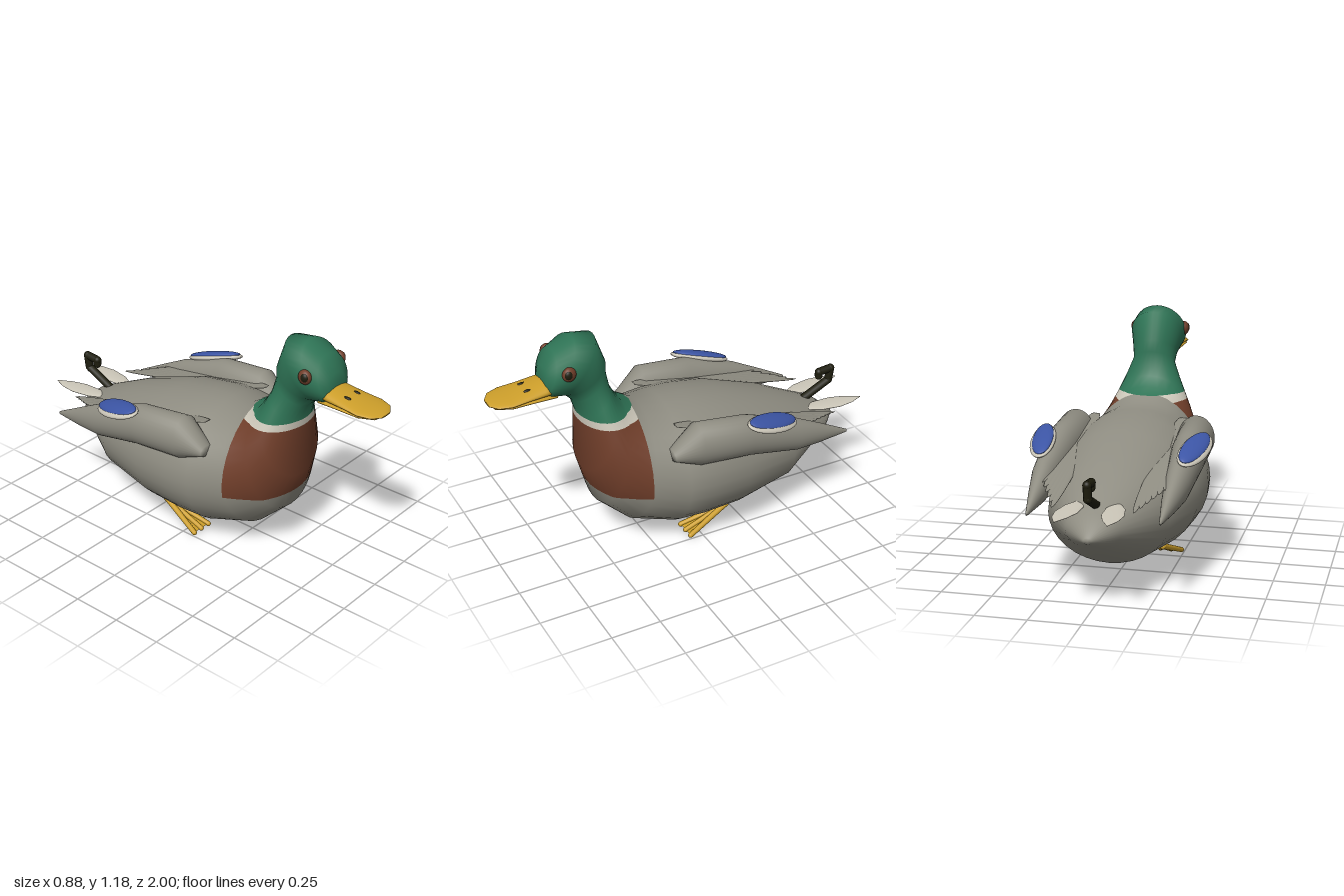
import * as THREE from 'three';

const mat = (name, color, side = THREE.FrontSide) => {
  const m = new THREE.MeshStandardMaterial({ color, side });
  m.name = name;
  return m;
};

// Loft of elliptical rings, tail to head: [topZ, topY, bottomZ, bottomY, halfWidth, centreX]
function loft(rings, n = 32) {
  const pos = [], idx = [];
  for (const [tz, ty, bz, by, w, cx = 0] of rings) {
    for (let i = 0; i < n; i++) {
      const a = (i / n) * Math.PI * 2, c = Math.cos(a) / 2;
      pos.push(cx + w * Math.sin(a), (ty + by) / 2 + (ty - by) * c, (tz + bz) / 2 + (tz - bz) * c);
    }
  }
  const last = rings.length - 1, caps = rings.length * n;
  for (const [tz, ty, bz, by, , cx = 0] of [rings[0], rings[last]]) pos.push(cx, (ty + by) / 2, (tz + bz) / 2);
  for (let i = 0; i < n; i++) {
    const k = (i + 1) % n;
    for (let j = 0; j < last; j++) {
      const a = j * n + i, b = j * n + k;
      idx.push(a, a + n, b, b, a + n, b + n);
    }
    idx.push(caps, i, k, caps + 1, last * n + k, last * n + i);
  }
  const g = new THREE.BufferGeometry();
  g.setAttribute('position', new THREE.Float32BufferAttribute(pos, 3));
  g.setIndex(idx);
  g.computeVertexNormals();
  return g;
}

// Rings that stand upright: [z, topY, bottomY, halfWidth, centreX]
const upright = (rings, s = 1) => loft(rings.map(([z, t, b, w, x = 0]) => [z, t, z, b, w, x * s]));

// Polygons are lists of [x, y, z, nx, ny, nz]; keep one side of a plane on the given axis
function clip(polys, axis, limit, sign) {
  const out = [];
  for (const poly of polys) {
    const kept = [];
    poly.forEach((a, i) => {
      const b = poly[(i + 1) % poly.length];
      const da = (a[axis] - limit) * sign, db = (b[axis] - limit) * sign;
      if (da >= 0) kept.push(a);
      if (da * db < 0) kept.push(a.map((v, k) => v + (b[k] - v) * da / (da - db)));
    });
    if (kept.length > 2) out.push(kept);
  }
  return out;
}

function toPolys(g) {
  const f = g.toNonIndexed(), p = f.attributes.position.array, n = f.attributes.normal.array, out = [];
  for (let t = 0; t < p.length; t += 9)
    out.push([0, 3, 6].map(k => [...p.slice(t + k, t + k + 3), ...n.slice(t + k, t + k + 3)]));
  return out;
}

function fromPolys(polys) {
  const pos = [], nor = [];
  for (const q of polys)
    for (let i = 1; i < q.length - 1; i++)
      for (const v of [q[0], q[i], q[i + 1]]) { pos.push(...v.slice(0, 3)); nor.push(...v.slice(3)); }
  const g = new THREE.BufferGeometry();
  g.setAttribute('position', new THREE.Float32BufferAttribute(pos, 3));
  g.setAttribute('normal', new THREE.Float32BufferAttribute(nor, 3));
  return g;
}

export function createModel() {
  const root = new THREE.Group();
  root.name = 'duck';
  const grey = mat('grey plumage', 0x8f8d82), green = mat('green head', 0x2e7355);
  const brown = mat('chestnut', 0x703e2a), white = mat('off white', 0xcdc8ba);
  const yellow = mat('bill yellow', 0xcc9e2a, THREE.DoubleSide);
  const blue = mat('wing blue', 0x3c55a5), black = mat('black', 0x1e1d0e);

  const add = (name, geo, m, parent = root) => {
    const mesh = new THREE.Mesh(geo, m);
    mesh.name = name;
    parent.add(mesh);
    return mesh;
  };
  const ball = (name, m, p, scale, parent) => {
    const b = add(name, new THREE.SphereGeometry(1, 24, 16), m, parent);
    b.position.set(...p);
    b.scale.set(...scale);
    return b;
  };
  // Tapered rod between two points
  const rod = (name, m, a, b, ra, rb, parent) => {
    const va = new THREE.Vector3(...a), d = new THREE.Vector3(...b).sub(va);
    const r = add(name, new THREE.CylinderGeometry(rb, ra, d.length(), 12), m, parent);
    r.position.copy(va).addScaledVector(d, 0.5);
    r.quaternion.setFromUnitVectors(new THREE.Vector3(0, 1, 0), d.normalize());
  };

  // Body, neck and head in one skin, cut into colour bands
  const skin = toPolys(loft([
    [-0.89, 0.37, -0.89, 0.34, 0.02], [-0.79, 0.455, -0.79, 0.285, 0.13],
    [-0.5, 0.585, -0.5, 0.12, 0.295], [-0.2, 0.685, -0.2, 0.07, 0.37],
    [0, 0.715, 0, 0.062, 0.385], [0.12, 0.722, 0.14, 0.06, 0.37],
    [0.24, 0.73, 0.35, 0.12, 0.308], [0.34, 0.79, 0.49, 0.25, 0.255],
    [0.375, 0.84, 0.55, 0.45, 0.205], [0.4, 0.89, 0.555, 0.75, 0.14],
    [0.41, 0.96, 0.585, 0.84, 0.108], [0.41, 1.02, 0.63, 0.885, 0.115],
    [0.46, 1.16, 0.67, 0.89, 0.135], [0.57, 1.177, 0.72, 0.9, 0.138],
    [0.67, 1.13, 0.735, 0.915, 0.11], [0.72, 1.05, 0.735, 0.94, 0.06],
  ]));
  const lower = clip(skin, 1, 0.755, -1), front = clip(lower, 2, 0.3, 1);
  const belowCollar = clip(front, 1, 0.72, -1);
  add('headAndNeck', fromPolys(clip(skin, 1, 0.755, 1)), green);
  add('collar', fromPolys(clip(front, 1, 0.72, 1)), white);
  add('breast', fromPolys(clip(belowCollar, 1, 0.35, 1)), brown);
  add('belly', fromPolys(clip(belowCollar, 1, 0.35, -1)), grey);
  add('body', fromPolys(clip(lower, 2, 0.3, -1)), grey);

  // Bill
  add('upperBill', upright([[0.68, 0.99, 0.915, 0.085], [0.74, 0.982, 0.915, 0.09], [0.82, 0.966, 0.918, 0.093],
    [0.91, 0.952, 0.918, 0.1], [0.97, 0.945, 0.918, 0.08], [1, 0.934, 0.922, 0.035]]), yellow);
  add('lowerBill', upright([[0.68, 0.935, 0.895, 0.08], [0.8, 0.935, 0.905, 0.088],
    [0.91, 0.935, 0.91, 0.094], [0.98, 0.93, 0.914, 0.06]]), yellow);

  // Curled tail feather
  const curlPath = new THREE.CurvePath();
  const curl = [[0.47, -0.72], [0.545, -0.875], [0.612, -0.885], [0.605, -0.815], [0.58, -0.815]]
    .map(([y, z]) => new THREE.Vector3(0, y, z));
  for (let i = 0; i < curl.length - 1; i++) curlPath.add(new THREE.LineCurve3(curl[i], curl[i + 1]));
  add('tailCurl', new THREE.TubeGeometry(curlPath, 40, 0.021, 8), black);
  curl.forEach((p, i) => ball('tailCurlJoint', black, p.toArray(), Array(3).fill(i === 4 ? 0.019 : 0.021)));

  for (const s of [1, -1]) {
    const side = s > 0 ? 'left' : 'right';
    ball(side + 'Nostril', black, [s * 0.036, 0.962, 0.81], [0.01, 0.008, 0.022]);
    ball(side + 'Eye', brown, [s * 0.13, 1.05, 0.64], [0.025, 0.036, 0.034]);
    ball(side + 'Pupil', black, [s * 0.142, 1.053, 0.646], [0.015, 0.024, 0.022]);

    // Folded wing with its bright patch
    const wing = new THREE.Group();
    wing.name = side + 'Wing';
    root.add(wing);
    add('wing', upright([[-0.79, 0.437, 0.42, 0.006, 0.31], [-0.62, 0.525, 0.415, 0.038, 0.315],
      [-0.48, 0.595, 0.418, 0.06, 0.32], [-0.2, 0.69, 0.475, 0.085, 0.318],
      [0.07, 0.718, 0.495, 0.092, 0.308], [0.2, 0.6, 0.545, 0.045, 0.3]], s), grey, wing);
    const patch = new THREE.Group();
    patch.name = 'wingPatch';
    patch.position.set(s * 0.372, 0.645, -0.31);
    patch.rotation.set(-0.25, s * 0.2, -s * 0.25);
    wing.add(patch);
    ball('patchBorder', white, [0, 0, 0], [0.066, 0.024, 0.16], patch);
    ball('patchBlue', blue, [-s * 0.004, 0.012, 0], [0.054, 0.02, 0.15], patch);

    // Fan of flat feathers from the shoulder to the rump
    for (let i = 0; i < 6; i++) {
      const t = i / 5;
      const a = new THREE.Vector3(s * (0.24 - 0.03 * t), 0.685, 0.15);
      const b = new THREE.Vector3(s * (0.29 - 0.1 * t), 0.525 - 0.055 * t, -0.6 - 0.2 * t);
      const mid = a.clone().lerp(b, 0.5);
      const f = ball('backFeather', grey, mid.toArray(), [0.03, 0.008, a.distanceTo(b) / 2], wing);
      f.lookAt(a);
    }

    // Pale tail feather: blunt root, pointed tip
    add(side + 'TailFeather', upright([[-1, 0.472, 0.468, 0.003, 0.12], [-0.93, 0.474, 0.466, 0.036, 0.115],
      [-0.85, 0.476, 0.464, 0.053, 0.107], [-0.75, 0.478, 0.462, 0.045, 0.097],
      [-0.68, 0.476, 0.464, 0.015, 0.09]], s), white);

    // Webbed foot
    const foot = new THREE.Group();
    foot.name = side + 'Foot';
    root.add(foot);
    const heel = [s * 0.19, 0.105, -0.16];
    const toes = [0.13, 0.185, 0.238].map(x => [s * x, 0.015, 0.065]);
    for (const toe of toes) {
      rod('toe', yellow, heel, toe, 0.015, 0.013, foot);
      ball('toeTip', yellow, toe, [0.013, 0.013, 0.013], foot);
    }
    ball('heel', yellow, heel, [0.017, 0.017, 0.017], foot);
    const web = new THREE.BufferGeometry();
    web.setAttribute('position', new THREE.Float32BufferAttribute(
      [...heel, ...toes[0], ...toes[1], ...heel, ...toes[1], ...toes[2]], 3));
    web.computeVertexNormals();
    add('web', web, yellow, foot);
  }
  return root;
}
